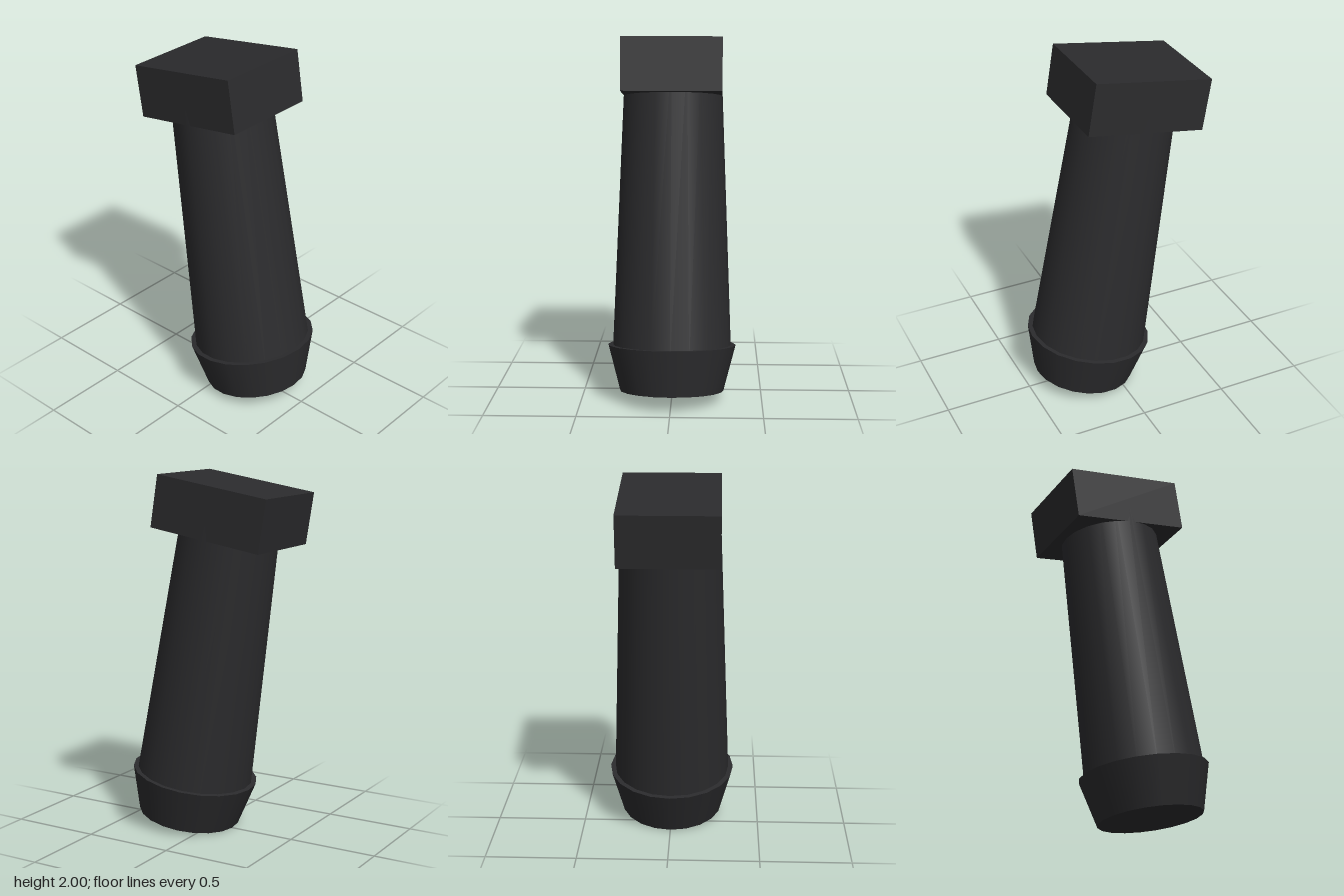
import * as THREE from 'three';

const material = new THREE.MeshStandardMaterial({ color: 0x2b2b2d });

function addPart(parent, name, geometry, y) {
  const mesh = new THREE.Mesh(geometry, material);
  mesh.name = name;
  mesh.position.y = y;
  parent.add(mesh);
}

// Tapered round part running from y0 to y1
function addTaper(parent, name, y0, r0, y1, r1) {
  addPart(parent, name, new THREE.CylinderGeometry(r1, r0, y1 - y0, 20), (y0 + y1) / 2);
}

export function createModel() {
  const model = new THREE.Group();
  model.name = 'post';

  // Leaning assembly, with its origin at the rim of the foot collar
  const leaning = new THREE.Group();
  leaning.name = 'leaningPost';
  leaning.position.set(0.12, 0.298, 0);
  leaning.rotation.z = THREE.MathUtils.degToRad(9.1);
  model.add(leaning);

  // Collar narrows to the foot; the shaft sits inside it and runs up into the cap
  addTaper(leaning, 'footCollar', -0.255, 0.288, 0, 0.355);
  addTaper(leaning, 'shaft', -0.09, 0.331, 1.6, 0.267);

  // Rectangular cap block
  addPart(leaning, 'capBlock', new THREE.BoxGeometry(0.668, 0.289, 0.544), 1.526);

  return model;
}
